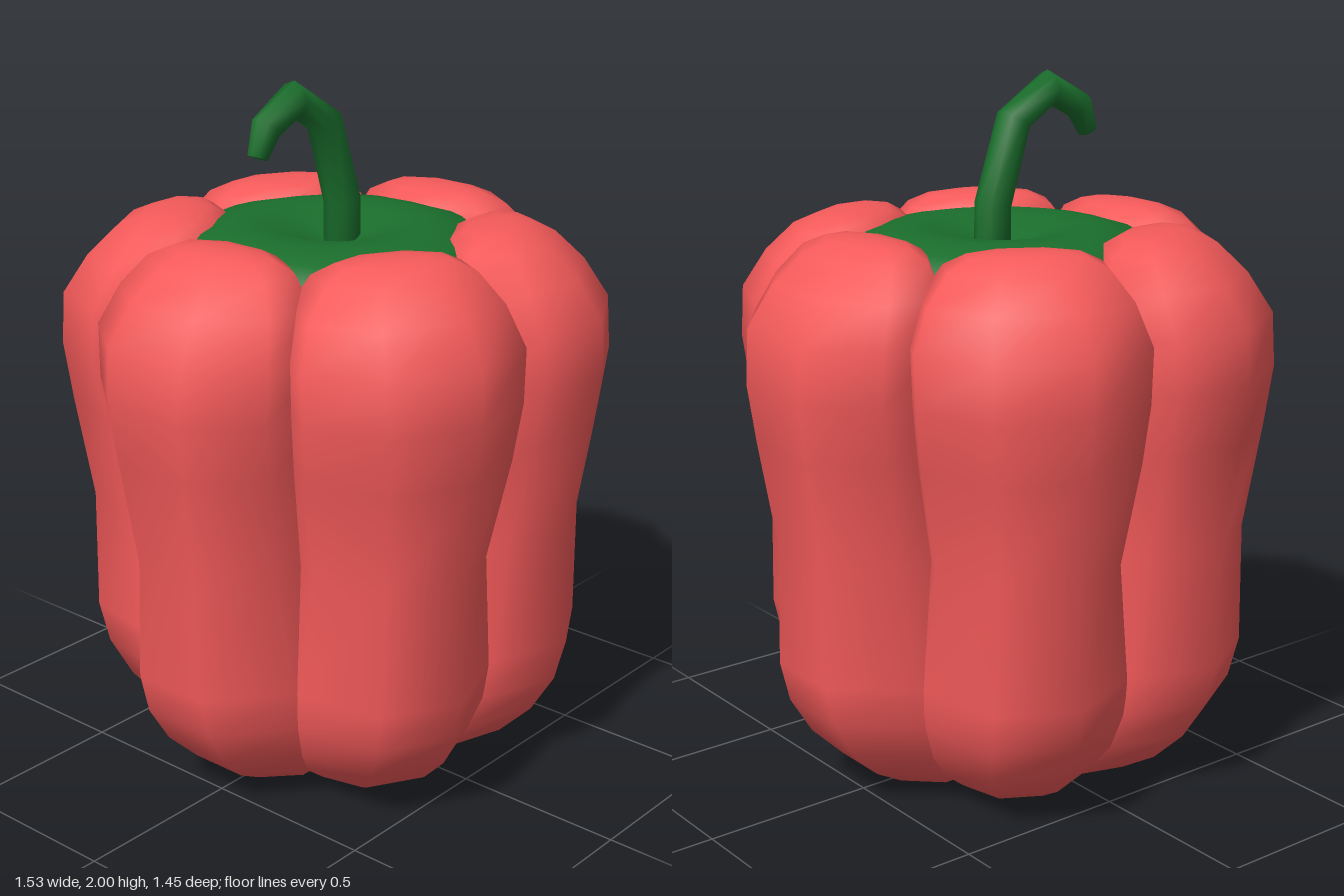
import * as THREE from 'three';

// Joins equal-sized rings (listed bottom to top) into a closed smooth skin.
function loft(rings) {
  const n = rings[0].length, pos = [], index = [];
  rings.forEach(r => r.forEach(p => pos.push(p.x, p.y, p.z)));
  for (let j = 0; j < rings.length - 1; j++) {
    for (let k = 0; k < n; k++) {
      const a = j * n + k, b = j * n + (k + 1) % n;
      index.push(a, a + n, b, b, a + n, b + n);
    }
  }
  [0, rings.length - 1].forEach(j => {
    const mid = new THREE.Vector3();
    rings[j].forEach(p => mid.addScaledVector(p, 1 / n));
    const m = pos.length / 3;
    pos.push(mid.x, mid.y, mid.z);
    for (let k = 0; k < n; k++) {
      const a = j * n + k, b = j * n + (k + 1) % n;
      if (j === 0) index.push(m, a, b);
      else index.push(m, b, a);
    }
  });
  const g = new THREE.BufferGeometry();
  g.setAttribute('position', new THREE.Float32BufferAttribute(pos, 3));
  g.setIndex(index);
  g.computeVertexNormals();
  return g;
}

// One lobe pointing along +x: [height, inner radius, outer radius, half width]
function lobeGeometry() {
  const sections = [
    [0.00, 0.16, 0.32, 0.09],
    [0.02, 0.09, 0.41, 0.15],
    [0.08, 0.02, 0.51, 0.21],
    [0.17, -0.01, 0.60, 0.26],
    [0.28, 0.00, 0.665, 0.28],
    [0.40, 0.04, 0.695, 0.28],
    [0.75, 0.14, 0.695, 0.25],
    [1.05, 0.24, 0.742, 0.29],
    [1.22, 0.28, 0.765, 0.305],
    [1.37, 0.29, 0.755, 0.31],
    [1.48, 0.29, 0.685, 0.27],
    [1.56, 0.32, 0.605, 0.21],
    [1.59, 0.37, 0.54, 0.15],
    [1.60, 0.42, 0.50, 0.08],
  ];
  const c8 = Math.cos(Math.PI / 8);
  return loft(sections.map(([y, inner, outer, w]) =>
    Array.from({ length: 8 }, (_, k) => {
      const t = (k + 0.5) * Math.PI / 4;
      return new THREE.Vector3(
        (inner + outer) / 2 + (outer - inner) / 2 * Math.cos(t) / c8,
        y,
        w * Math.sin(t) / c8);
    })));
}

// Bent stem lying in the xy plane: [x, y, radius]
function stemGeometry() {
  const path = [
    [0.03, 1.45, 0.052], [0.028, 1.64, 0.052], [-0.045, 1.87, 0.05],
    [-0.17, 1.949, 0.05], [-0.28, 1.89, 0.042], [-0.313, 1.815, 0.028],
  ];
  return loft(path.map(([x, y, r], i) => {
    const a = path[Math.max(i - 1, 0)], b = path[Math.min(i + 1, path.length - 1)];
    const d = new THREE.Vector2(b[0] - a[0], b[1] - a[1]).normalize();
    return Array.from({ length: 8 }, (_, k) => {
      const t = k * Math.PI / 4, s = r * Math.cos(t);
      return new THREE.Vector3(x + d.y * s, y - d.x * s, r * Math.sin(t));
    });
  }));
}

export function createModel() {
  const model = new THREE.Group();
  model.name = 'bellPepper';
  const red = new THREE.MeshStandardMaterial({ color: 0xf55a5a });
  const green = new THREE.MeshStandardMaterial({ color: 0x1a6e2c });
  const add = (name, geometry, material) => {
    const mesh = new THREE.Mesh(geometry, material);
    mesh.name = name;
    model.add(mesh);
    return mesh;
  };

  // Six lobes around the middle
  const lobe = lobeGeometry();
  for (let i = 0; i < 6; i++) add('lobe' + (i + 1), lobe, red).rotation.y = i * Math.PI / 3;

  // Dished green crown between the lobe tops
  const profile = [[0.46, 1.44], [0.44, 1.51], [0.38, 1.56], [0.28, 1.58], [0.19, 1.575], [0.1, 1.545], [0, 1.51]];
  add('crown', new THREE.LatheGeometry(profile.map(p => new THREE.Vector2(...p)), 24), green);

  add('stem', stemGeometry(), green);
  return model;
}
